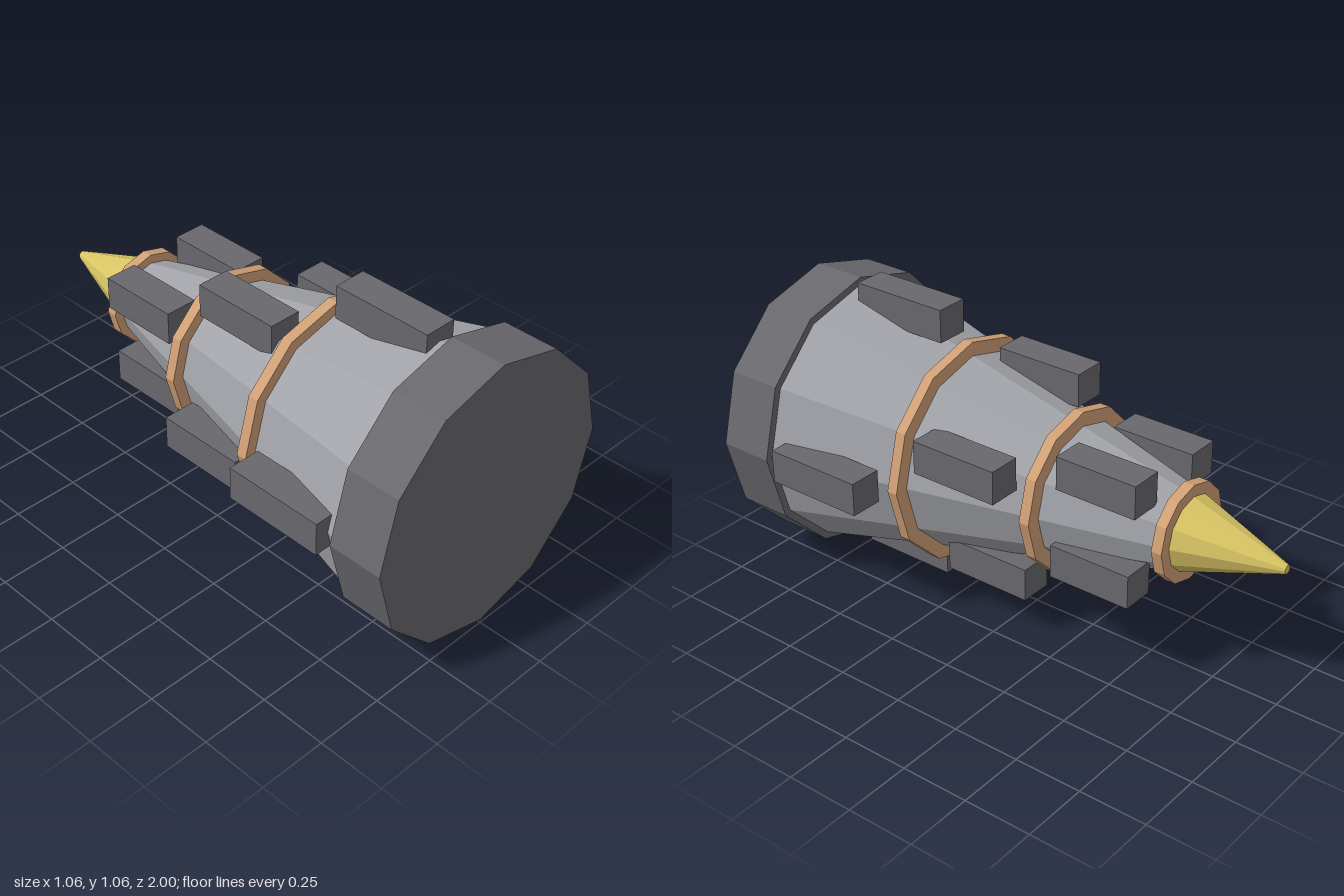
import * as THREE from 'three';

const SIDES = 12;
const AXIS_Y = 0.53;

function material(name, color) {
  const m = new THREE.MeshStandardMaterial({ color });
  m.name = name;
  return m;
}

export function createModel() {
  const group = new THREE.Group();
  group.name = 'drillCone';

  const darkSteel = material('darkSteel', 0x69686d);
  const lightSteel = material('lightSteel', 0xa2a3a8);
  const copper = material('copper', 0xd0a075);
  const gold = material('gold', 0xd8c463);

  function add(name, geometry, mat, x = 0, y = 0, z = 0) {
    const mesh = new THREE.Mesh(geometry, mat);
    mesh.name = name;
    mesh.position.set(x, AXIS_Y + y, z);
    group.add(mesh);
  }

  // Faceted section along z, from zBack to zFront
  function section(name, mat, zBack, zFront, rBack, rFront) {
    const g = new THREE.CylinderGeometry(rFront, rBack, zFront - zBack, SIDES)
      .rotateX(Math.PI / 2)
      .toNonIndexed();
    g.computeVertexNormals();
    add(name, g, mat, 0, 0, (zBack + zFront) / 2);
  }

  section('base', darkSteel, 0.795, 1, 0.517, 0.517);
  section('body', lightSteel, -0.64, 0.795, 0.135, 0.49);
  section('tip', gold, -1, -0.64, 0.016, 0.135);

  // Bands around the body
  for (const [z, r] of [[0.3, 0.414], [-0.175, 0.298], [-0.62, 0.178]]) {
    section('ring', copper, z - 0.02, z + 0.02, r, r);
  }

  // Rows of upright cutting blocks, each row turned 25 degrees further
  const rows = [
    { radius: 0.468, back: 0.37, front: 0.75 },
    { radius: 0.347, back: -0.11, front: 0.23 },
    { radius: 0.23, back: -0.555, front: -0.24 },
  ];
  rows.forEach(({ radius, back, front }, row) => {
    const block = new THREE.BoxGeometry(0.123, 0.123, front - back);
    for (let i = 0; i < 4; i++) {
      const a = THREE.MathUtils.degToRad(row * 25 + i * 90);
      add('cuttingBlock', block, darkSteel,
        Math.cos(a) * radius, Math.sin(a) * radius, (back + front) / 2);
    }
  });

  return group;
}
